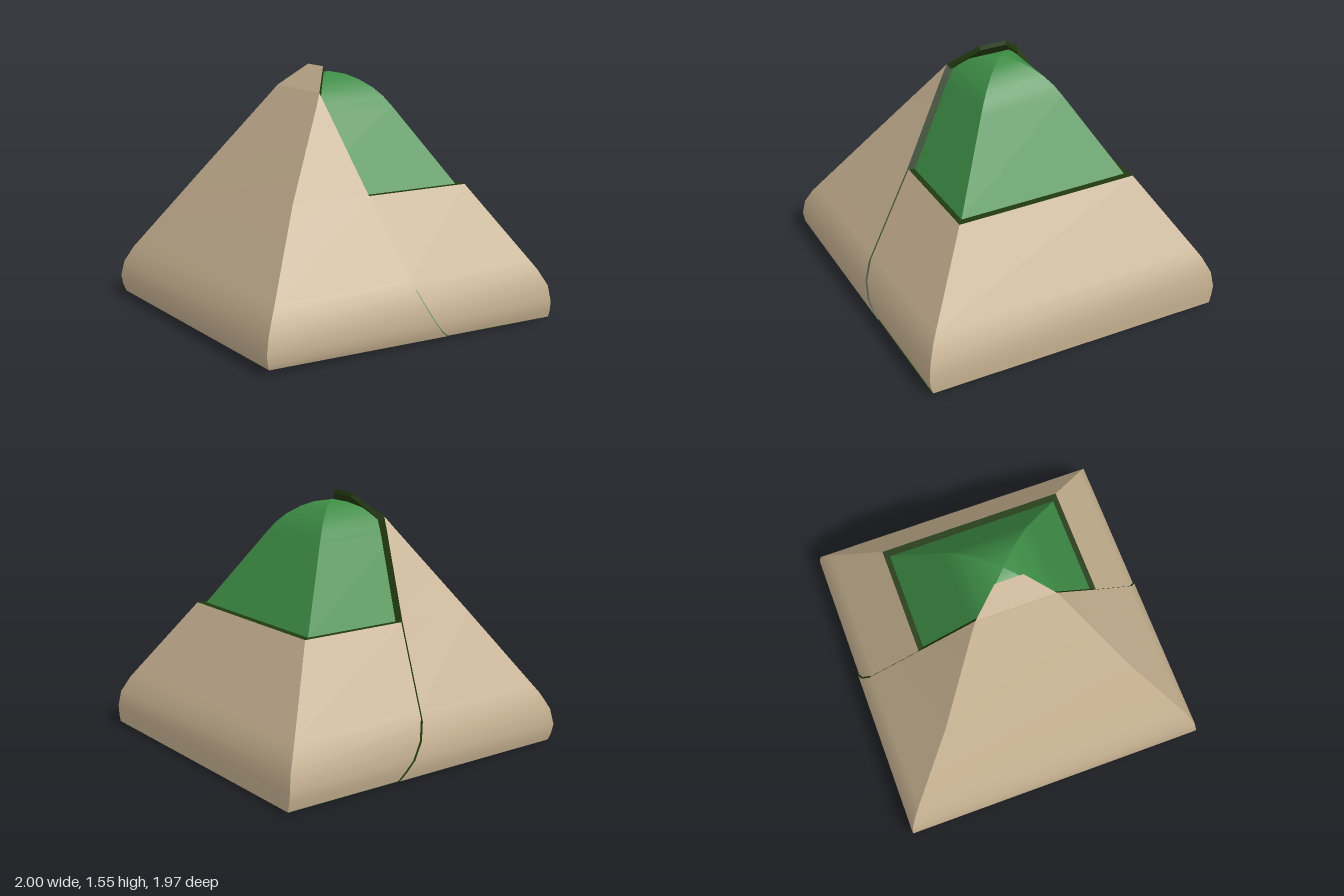
import * as THREE from 'three';

const mat = (name, color, side = THREE.FrontSide) => {
  const m = new THREE.MeshStandardMaterial({ color, side });
  m.name = name;
  return m;
};

// The underside is slightly tilted; every point of the bottom row follows it.
const P = (x, y, z) => new THREE.Vector3(x, y <= 0.02 ? 0.017 - 0.007 * x + 0.008 * z : y, z);

// Smooth surface between two edge curves, A on the left and B on the right when seen from outside.
function strip(name, material, A, B) {
  const pos = [], index = [];
  A.forEach((a, i) => {
    pos.push(...a.toArray(), ...B[i].toArray());
    if (i === 0) return;
    const k = 2 * i - 2;
    index.push(k, k + 1, k + 3, k, k + 3, k + 2);
  });
  const g = new THREE.BufferGeometry();
  g.setAttribute('position', new THREE.Float32BufferAttribute(pos, 3));
  g.setIndex(index);
  g.computeVertexNormals();
  const mesh = new THREE.Mesh(g, material);
  mesh.name = name;
  return mesh;
}

export function createModel() {
  const tan = mat('tan leaf', 0xc4af8f);
  const green = mat('green filling', 0x3d8c45);
  const dark = mat('dark leaf inside', 0x213a10, THREE.DoubleSide);
  const white = mat('pale underside', 0xe0e0e0);

  const model = new THREE.Group();
  const group = (name) => {
    const g = new THREE.Group();
    g.name = name;
    model.add(g);
    return g;
  };

  // Filling: four-sided pyramid with a rounded top, rows of [y, half width]
  const filling = group('filling');
  const core = [[0.02, 0.95], [0.12, 0.96], [0.22, 0.94], [0.32, 0.885], [0.83, 0.572], [1.3, 0.285],
    [1.36, 0.245], [1.41, 0.2], [1.46, 0.135], [1.49, 0.075], [1.505, 0]];
  const corner = (sx, sz) => core.map(([y, h]) => P(sx * h, y, sz * h * 0.965));
  const signs = [[-1, 1], [1, 1], [1, -1], [-1, -1]];
  signs.forEach((s, i) => {
    filling.add(strip('fillingSide', green, corner(...s), corner(...signs[(i + 1) % 4])));
  });

  // Left wrap rows: [y, half width x, half width z, x of the overlapping edge]
  const rows = [[0.02, 0.975, 0.965, 0.22], [0.06, 0.99, 0.978, 0.175], [0.12, 1.0, 0.985, 0.125],
    [0.22, 0.98, 0.97, 0.065], [0.32, 0.93, 0.925, 0.022], [0.37, 0.898, 0.893, 0.011],
    [0.83, 0.61, 0.595, -0.09], [1.34, 0.265, 0.293, -0.205], [1.41, 0.22, 0.25, -0.22]];
  const leftWrap = group('leftWrap');
  const leftCorner = (s) => rows.map(([y, hx, hz]) => P(-hx, y, s * hz));
  const edge = (s, dx = 0, dz = 0) => rows.map(([y, , hz, ex]) => P(ex + dx, y, s * (hz + dz)));
  leftWrap.add(
    strip('leftWrapSide', tan, leftCorner(-1), leftCorner(1)),
    strip('leftWrapFront', tan, leftCorner(1), edge(1)),
    strip('leftWrapBack', tan, edge(-1), leftCorner(-1)),
  );
  for (const s of [1, -1]) {
    leftWrap.add(strip('leftWrapEdge', dark, edge(s), edge(s, 0.02, -0.045)));
  }

  // Folded tip of the left wrap, a thin plate standing free of the filling
  const tipOut = (s) => [P(-0.22, 1.41, s * 0.25), P(-0.095, 1.548, s * 0.088)];
  const tipIn = (s) => [P(-0.2, 1.385, s * 0.235), P(-0.088, 1.522, s * 0.085)];
  const tip = group('wrapTip');
  tip.add(
    strip('tipOutside', tan, tipOut(-1), tipOut(1)),
    strip('tipInside', dark, tipIn(1), tipIn(-1)),
    strip('tipEnd', dark, [tipOut(1)[1], tipOut(-1)[1]], [tipIn(1)[1], tipIn(-1)[1]]),
  );
  for (const s of [1, -1]) tip.add(strip('tipEdge', dark, tipOut(s), tipIn(s)));

  // Right wrap: a low collar around the front, right and back
  const rightWrap = group('rightWrap');
  const rightX = [1.0, 1.0, 1.0, 0.985, 0.935, 0.904, 0.617];
  const low = rows.slice(0, 7);
  const rightCorner = (s) => low.map(([y, , hz], i) => P(rightX[i], y, s * (hz - 0.008)));
  const rightEdge = (s) => low.map(([y, , hz, ex]) => P(ex + (y < 0.33 ? 0.009 : -0.008), y, s * (hz - 0.008)));
  rightWrap.add(
    strip('rightWrapSide', tan, rightCorner(1), rightCorner(-1)),
    strip('rightWrapFront', tan, rightEdge(1), rightCorner(1)),
    strip('rightWrapBack', tan, rightCorner(-1), rightEdge(-1)),
  );

  // Thickness of the collar along its top edge
  const rim = (x, z) => [[-0.095, z], [x, z], [x, -z], [-0.095, -z]].map(([a, b]) => P(a, 0.83, b));
  rightWrap.add(strip('collarRim', dark, rim(0.617, 0.587), rim(0.555, 0.535)));

  // Underside: leaf edge all round, left flap and exposed base
  const base = group('underside');
  const loop = (l, r, z) => [[l, z], [r, z], [r, -z], [l, -z], [l, z]].map(([a, b]) => P(a, 0.02, b));
  base.add(strip('bottomRim', dark, loop(-0.975, 1.0, 0.962), loop(-0.945, 0.955, 0.925)));
  const plate = (name, m, l, r) => base.add(strip(name, m,
    [P(l, 0, -0.925), P(l, 0, 0.925)], [P(r, 0, -0.925), P(r, 0, 0.925)]));
  plate('leftBottomFlap', tan, -0.945, 0.22);
  plate('exposedBase', white, 0.22, 0.955);

  return model;
}
